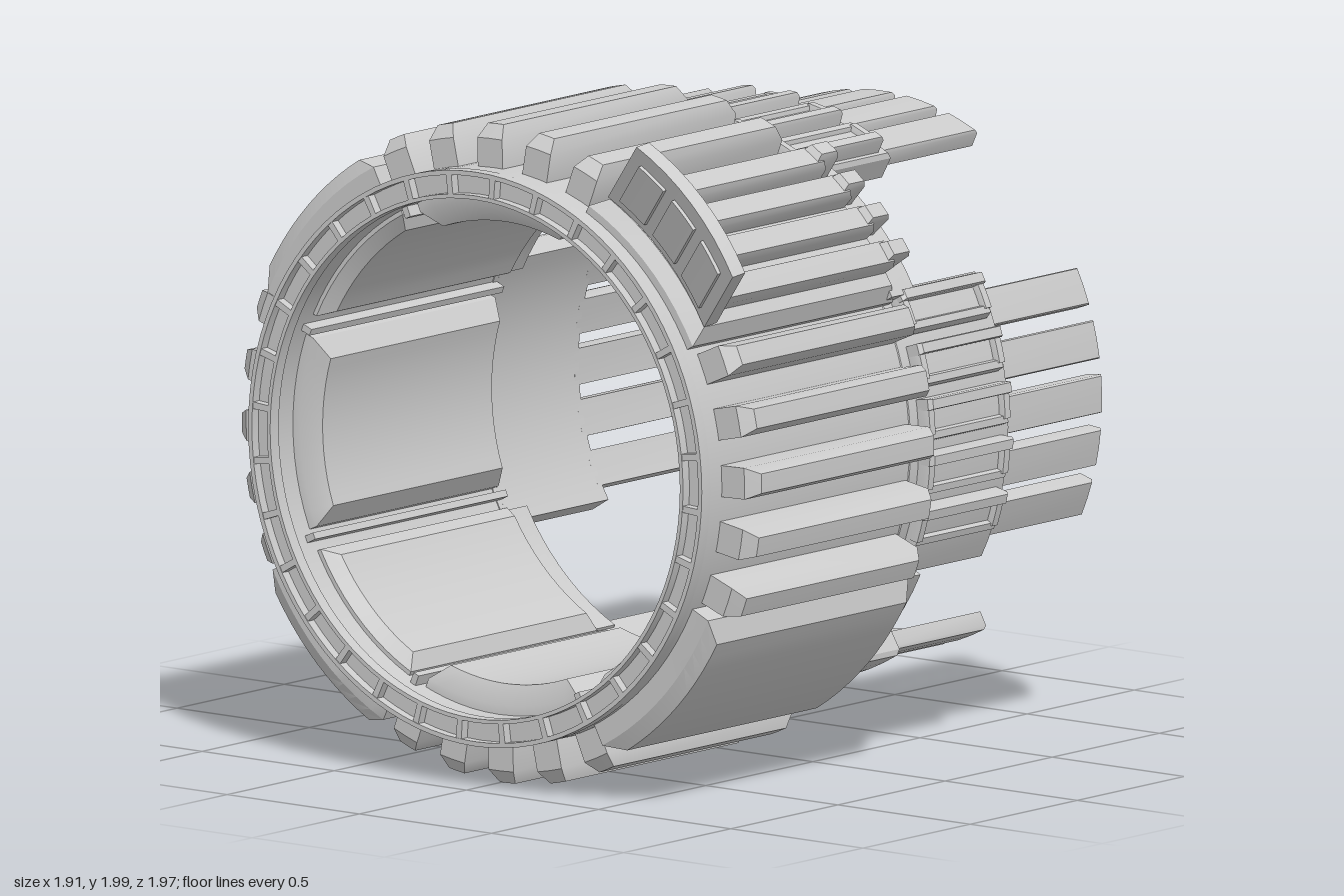
import * as THREE from 'three';
import { toCreasedNormals } from 'three/addons/utils/BufferGeometryUtils.js';

const DEG = Math.PI / 180;
const AXIS_Y = 0.99;      // height of the ring axis, which runs along x
const PITCH = 11.25;      // angle of one cell, 32 cells around
const material = new THREE.MeshStandardMaterial({ color: 0xcccccc });

function add(parent, name, geometry) {
  const mesh = new THREE.Mesh(toCreasedNormals(geometry, 0.5), material);
  mesh.name = name;
  parent.add(mesh);
}

// Box bent around the x axis: x range, radius range, angle range in degrees.
// The outer (or inner) face is drawn in by bx and bt over `bev` of height.
// `straight` keeps the sides parallel instead of radial.
function block(parent, name, [x0, x1], [r0, r1], [t0, t1], { bx = 0, bt = 0, bev = 0.02, inward = false, straight = false } = {}) {
  const n = Math.max(1, Math.ceil((t1 - t0) / 4));
  const g = new THREE.BoxGeometry(1, 1, 1, 1, 2, n);
  const p = g.attributes.position;
  for (let i = 0; i < p.count; i++) {
    const h = p.getY(i) + 0.5;
    const r = h < 0.25 ? r0 : h > 0.75 ? r1 : inward ? r0 + bev : r1 - bev;
    const k = (inward ? h < 0.25 : h > 0.75) ? 1 : 0;
    const x = THREE.MathUtils.lerp(x0 + bx * k, x1 - bx * k, p.getX(i) + 0.5);
    const spread = p.getZ(i) * (t1 - t0 - 2 * bt * k) * (straight ? r0 / r : 1);
    const t = ((t0 + t1) / 2 + spread) * DEG;
    p.setXYZ(i, x, r * Math.cos(t), r * Math.sin(t));
  }
  add(parent, name, g);
}

// Full ring with a closed rectangular section
function ring(parent, name, x0, x1, ri, ro) {
  const pts = [[ri, x1], [ri, x0], [ro, x0], [ro, x1], [ri, x1]].map(([r, x]) => new THREE.Vector2(r, x));
  const g = new THREE.LatheGeometry(pts, 96);
  g.rotateZ(-Math.PI / 2);
  add(parent, name, g);
}

function sector(parent, name, angle) {
  const g = new THREE.Group();
  g.name = name;
  g.rotation.x = angle * DEG;
  parent.add(g);
  return g;
}

// Windowed louver: rim around a shallow recess, higher on the side given by `high`
function louver(parent, c, high) {
  const g = new THREE.Group();
  g.name = 'louver';
  parent.add(g);
  block(g, 'louverFloor', [0.06, 0.425], [0.84, 0.882], [c - 3.2, c + 3.2]);
  block(g, 'louverHighSide', [0.05, 0.435], [0.84, 0.915], [c + high * 3 - 1.1, c + high * 3 + 1.1], { bx: 0.01, bt: 0.2, bev: 0.012 });
  block(g, 'louverLowSide', [0.05, 0.435], [0.84, 0.895], [c - high * 3 - 1.4, c - high * 3 + 1.4], { bx: 0.01, bt: 0.7, bev: 0.03 });
  for (const x of [0.05, 0.4]) block(g, 'louverEnd', [x, x + 0.035], [0.84, 0.9], [c - 2.8, c + 2.8], { bx: 0.005, bev: 0.015 });
}

// Five fins, extension plate and fingers; `high` gives the version with louvers
function finSector(parent, name, angle, high = 0) {
  const g = sector(parent, name, angle);
  for (let i = -2; i <= 2; i++) {
    const t = i * PITCH;
    block(g, 'fin', [-0.865, 0], [0.84, 0.983], [t - 3.2, t + 3.2], { bx: 0.03, bt: 1.2, bev: 0.04, straight: true });
    block(g, 'finger', [0.46, 0.953], [0.775, 0.83], [t - 4, t + 4], { bx: 0.01, bt: 0.3, bev: 0.01 });
    if (high) louver(g, t * 0.94 + high * 3.4, high);
  }
  block(g, 'extensionPlate', [0, 0.48], [0.775, 0.86], [-30, 30], { bx: 0.012, bt: 0.6, bev: 0.015 });
  block(g, 'innerPad', [-0.85, 0], [0.69, 0.79], [-22, 22], { bx: 0.03, bt: 3.5, bev: 0.06, inward: true });
  for (const s of [-1, 1]) block(g, 'innerRail', [-0.88, 0.02], [0.745, 0.79], [s * 24 - 0.8, s * 24 + 0.8]);
}

// Diagonal panel: end cap with three windows, plus smooth shell or open ribbed bay
function panelSector(parent, name, angle, open) {
  const g = sector(parent, name, angle);
  block(g, 'innerPad', [-0.85, 0.02], [0.725, 0.79], [-18, 18], { bx: 0.03, bt: 3, bev: 0.04, inward: true });
  block(g, 'endCap', [0, 0.085], [0.765, 0.912], [-17.5, 17.5]);
  block(g, 'endCapInnerLip', [0.085, 0.11], [0.765, 0.787], [-17.5, 17.5]);
  block(g, 'endCapOuterLip', [0.085, 0.11], [0.865, 0.912], [-17.5, 17.5]);
  for (let i = 0; i < 4; i++) {
    const t = (i - 1.5) * 11;
    block(g, 'endCapDivider', [0.085, 0.11], [0.77, 0.88], [t - 1, t + 1]);
  }
  if (!open) {
    block(g, 'panelShell', [-0.9, 0.035], [0.84, 0.967], [-18.3, 18.3], { bx: 0.025, bt: 3.6, bev: 0.045 });
    return;
  }
  block(g, 'panelBase', [-0.9, 0.035], [0.84, 0.925], [-18, 18], { bx: 0.03, bt: 2.5, bev: 0.045 });
  for (let i = 0; i < 4; i++) {
    const t = (i - 1.5) * 7.3 - 0.6;
    block(g, 'bayRib', [-0.84, 0], [0.9, 0.99], [t - 2.6, t + 2.6], { bx: 0.015, bt: 0.6, bev: 0.025 });
    block(g, 'bayRibEnd', [-0.04, 0.055], [0.9, 1.01], [t - 1.7, t + 1.7], { bx: 0.012, bt: 0.4, bev: 0.02 });
  }
  hatch(g, 'hatchCover', [-1, 1], [0, 1], [0, 0.05]);
  for (const w of [-0.6, 0, 0.6]) hatch(g, 'hatchRearRib', [w - 0.22, w + 0.22], [0.12, 0.8], [-0.012, 0.01]);
}

// Slab of the raised cover leaning back from the rear edge of the open bay:
// width range, height range and depth range
function hatch(parent, name, [w0, w1], [v0, v1], [d0, d1]) {
  const { lerp } = THREE.MathUtils;
  const g = new THREE.BoxGeometry(1, 1, 1, 1, 1, 8);
  const p = g.attributes.position;
  for (let i = 0; i < p.count; i++) {
    const v = lerp(v0, v1, p.getY(i) + 0.5);
    const d = lerp(d0, d1, p.getX(i) + 0.5);
    const t = lerp(w0, w1, p.getZ(i) + 0.5) * 17 * DEG;
    p.setXYZ(i, -0.88 - 0.08 * v + d, 0.86 * Math.cos(t) + 0.075 + 0.25 * v + d * 0.2, 0.86 * Math.sin(t));
  }
  add(parent, name, g);
}

export function createModel() {
  const root = new THREE.Group();
  root.name = 'finnedRing';
  const body = new THREE.Group();
  body.name = 'ringBody';
  body.position.y = AXIS_Y;
  root.add(body);

  // Main tube with a lip pair at each end
  ring(body, 'tube', -0.93, 0.025, 0.778, 0.857);
  for (const [x0, x1] of [[-0.96, -0.92], [0.02, 0.05]]) {
    ring(body, 'innerLip', x0, x1, 0.775, 0.787);
    ring(body, 'outerLip', x0, x1, 0.844, 0.858);
  }

  // Dividers that turn the end grooves into windows
  const cells = sector(body, 'endCells', -1.3);
  for (let i = 0; i < 32; i++) {
    const t = (i + 0.5) * PITCH;
    block(cells, 'rearDivider', [-0.958, -0.92], [0.78, 0.85], [t - 0.7, t + 0.7]);
    block(cells, 'frontDivider', [0.02, 0.048], [0.78, 0.85], [t - 1.7, t + 1.7]);
  }

  // Four finned sectors, the two beside the open bay carry louvers
  finSector(body, 'topFins', -1.3, 1);
  finSector(body, 'frontFins', 88.7, -1);
  finSector(body, 'bottomFins', 178.7);
  finSector(body, 'backFins', 268.7);

  // Four diagonal panels, the upper front one is open
  panelSector(body, 'upperFrontPanel', 43.7, true);
  panelSector(body, 'lowerFrontPanel', 133.7, false);
  panelSector(body, 'lowerBackPanel', 223.7, false);
  panelSector(body, 'upperBackPanel', 313.7, false);
  return root;
}
